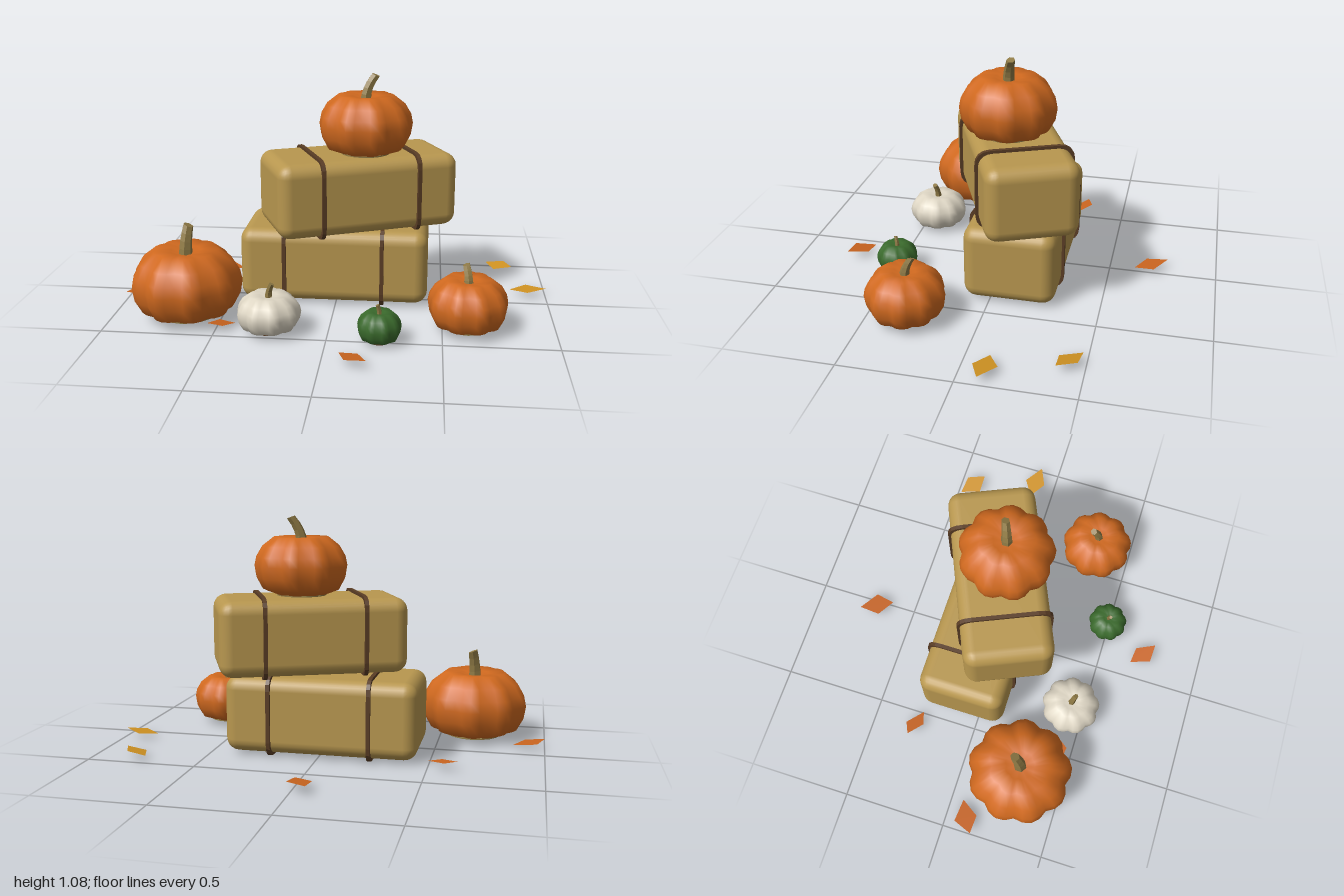
import * as THREE from 'three';
import { mergeVertices } from 'three/addons/utils/BufferGeometryUtils.js';
import { RoundedBoxGeometry } from 'three/addons/geometries/RoundedBoxGeometry.js';

const paint = (name, color) => {
  const m = new THREE.MeshStandardMaterial({ color });
  m.name = name;
  return m;
};

export function createModel() {
  const straw = paint('straw', 0xb8974f);
  const twine = paint('twine', 0x5a3d25);
  const orange = paint('pumpkinOrange', 0xd0691f);
  const cream = paint('cream', 0xded6c4);
  const green = paint('gourdGreen', 0x3a6a2c);
  const stalk = paint('stalk', 0x8f7a45);
  const rust = paint('leafRust', 0xc9641f);
  const gold = paint('leafGold', 0xcf9222);
  rust.side = gold.side = THREE.DoubleSide;

  const root = new THREE.Group();
  root.name = 'harvestDisplay';
  const add = (parent, name, geometry, material) => {
    const mesh = new THREE.Mesh(geometry, material);
    mesh.name = name;
    parent.add(mesh);
    return mesh;
  };

  // Rounded rectangle outline used for the twine loops
  const outline = (T, hw, hh, r) => {
    const s = new T();
    s.moveTo(-hw + r, -hh);
    s.lineTo(hw - r, -hh);
    s.quadraticCurveTo(hw, -hh, hw, -hh + r);
    s.lineTo(hw, hh - r);
    s.quadraticCurveTo(hw, hh, hw - r, hh);
    s.lineTo(-hw + r, hh);
    s.quadraticCurveTo(-hw, hh, -hw, hh - r);
    s.lineTo(-hw, -hh + r);
    s.quadraticCurveTo(-hw, -hh, -hw + r, -hh);
    return s;
  };

  // Straw bale with two twine loops
  const makeBale = (name, [x, y, z], turn, length, height, depth) => {
    const bale = new THREE.Group();
    bale.name = name;
    bale.position.set(x, y, z);
    bale.rotation.y = turn;
    root.add(bale);
    add(bale, 'straw', new RoundedBoxGeometry(length, height, depth, 3, 0.06), straw);
    const loop = outline(THREE.Shape, depth / 2 + 0.013, height / 2 + 0.013, 0.07);
    loop.holes.push(outline(THREE.Path, depth / 2 - 0.008, height / 2 - 0.008, 0.06));
    for (const side of [-1, 1]) {
      const geo = new THREE.ExtrudeGeometry(loop, { depth: 0.018, bevelEnabled: false, curveSegments: 4 });
      geo.translate(0, 0, -0.009).rotateY(Math.PI / 2);
      add(bale, 'twineLoop', geo, twine).position.x = side * 0.228;
    }
  };
  makeBale('lowerBale', [-0.01, 0.193, -0.09], 0, 0.88, 0.35, 0.42);
  makeBale('upperBale', [0.09, 0.545, -0.05], 0.41, 0.86, 0.345, 0.415);

  // Ribbed body: a lathe whose radius swells into lobes
  const profile = [[0, 0.03], [0.5, 0], [0.83, 0.1], [0.96, 0.3], [1, 0.5],
    [0.96, 0.66], [0.83, 0.84], [0.58, 1], [0.28, 0.98], [0, 0.9]];
  const LOBES = 9;
  const bodyGeometry = (radius, height) => {
    const pts = profile.map(([r, h]) => new THREE.Vector2(r * radius, h * height));
    let geo = new THREE.LatheGeometry(pts, LOBES * 4);
    geo.deleteAttribute('uv');
    geo.deleteAttribute('normal');
    const p = geo.attributes.position;
    for (let i = 0; i < p.count; i++) {
      const a = Math.atan2(p.getX(i), p.getZ(i));
      const k = 0.91 + 0.1 * Math.abs(Math.sin(a * LOBES / 2));
      p.setX(i, p.getX(i) * k);
      p.setZ(i, p.getZ(i) * k);
    }
    geo = mergeVertices(geo, 1e-5);
    geo.computeVertexNormals();
    return geo;
  };

  // Six-sided tapered stem that curves towards its tip
  const stemGeometry = (thick, height, dx, dz) => {
    const geo = new THREE.CylinderGeometry(thick * 0.7, thick, height, 6, 4).translate(0, height / 2, 0);
    const p = geo.attributes.position;
    for (let i = 0; i < p.count; i++) {
      const t = p.getY(i) / height;
      const x = p.getX(i);
      p.setX(i, x + dx * t * t);
      p.setZ(i, p.getZ(i) + dz * t * t);
      p.setY(i, p.getY(i) - x * t * Math.sign(dx) * 0.4);
    }
    const flat = geo.toNonIndexed();
    flat.computeVertexNormals();
    return flat;
  };

  const makePumpkin = (name, [x, y, z], radius, height, skin, capSkin, stem) => {
    const g = new THREE.Group();
    g.name = name;
    g.position.set(x, y, z);
    root.add(g);
    add(g, 'body', bodyGeometry(radius, height), skin);
    const [thick, tall, dx, dz] = stem;
    add(g, 'stem', stemGeometry(thick, tall, dx, dz), stalk).position.y = height * 0.9;
    // Blossom end underneath
    add(g, 'base', new THREE.CylinderGeometry(radius * 0.53, radius * 0.53, 0.006, 18), capSkin);
  };
  makePumpkin('topPumpkin', [0.128, 0.72, -0.03], 0.218, 0.268, orange, stalk, [0.027, 0.115, 0.045, -0.02]);
  makePumpkin('largePumpkin', [-0.66, 0.02, 0.285], 0.25, 0.305, orange, stalk, [0.032, 0.135, 0.01, -0.03]);
  makePumpkin('rightPumpkin', [0.61, 0.02, 0.322], 0.178, 0.222, orange, stalk, [0.023, 0.08, -0.012, -0.03]);
  makePumpkin('whitePumpkin', [-0.26, 0.02, 0.43], 0.142, 0.16, cream, twine, [0.017, 0.07, 0.018, 0.012]);
  makePumpkin('greenGourd', [0.229, 0.015, 0.49], 0.096, 0.13, green, twine, [0.012, 0.047, -0.008, 0.008]);

  // Fallen leaves: four corners in x, z, lifting away from the centre
  const makeLeaf = (skin, c) => {
    const far = c.map(([x, z]) => Math.hypot(x, z));
    const lo = Math.min(...far), hi = Math.max(...far);
    const corners = c.flatMap(([x, z], i) => [x, 0.03 + 0.016 * (far[i] - lo) / (hi - lo), z]);
    const geo = new THREE.BufferGeometry();
    geo.setAttribute('position', new THREE.Float32BufferAttribute(corners, 3));
    geo.setIndex([0, 2, 1, 0, 3, 2]);
    geo.computeVertexNormals();
    add(root, 'leaf', geo, skin);
  };
  makeLeaf(rust, [[-0.07, -0.77], [0.025, -0.71], [0.01, -0.62], [-0.075, -0.67]]);
  makeLeaf(gold, [[0.735, -0.48], [0.825, -0.47], [0.86, -0.385], [0.77, -0.385]]);
  makeLeaf(gold, [[0.83, -0.11], [0.91, -0.16], [1, -0.095], [0.91, -0.055]]);
  makeLeaf(rust, [[-0.63, -0.31], [-0.575, -0.335], [-0.5, -0.27], [-0.56, -0.25]]);
  makeLeaf(rust, [[-0.965, 0.05], [-0.855, 0.06], [-0.91, 0.145], [-1, 0.14]]);
  makeLeaf(rust, [[0.07, 0.66], [0.15, 0.67], [0.19, 0.76], [0.1, 0.755]]);
  makeLeaf(rust, [[-0.415, 0.41], [-0.46, 0.47], [-0.53, 0.46], [-0.49, 0.39]]);

  // Set the whole display on the ground
  root.position.y = -new THREE.Box3().setFromObject(root).min.y;
  return root;
}
